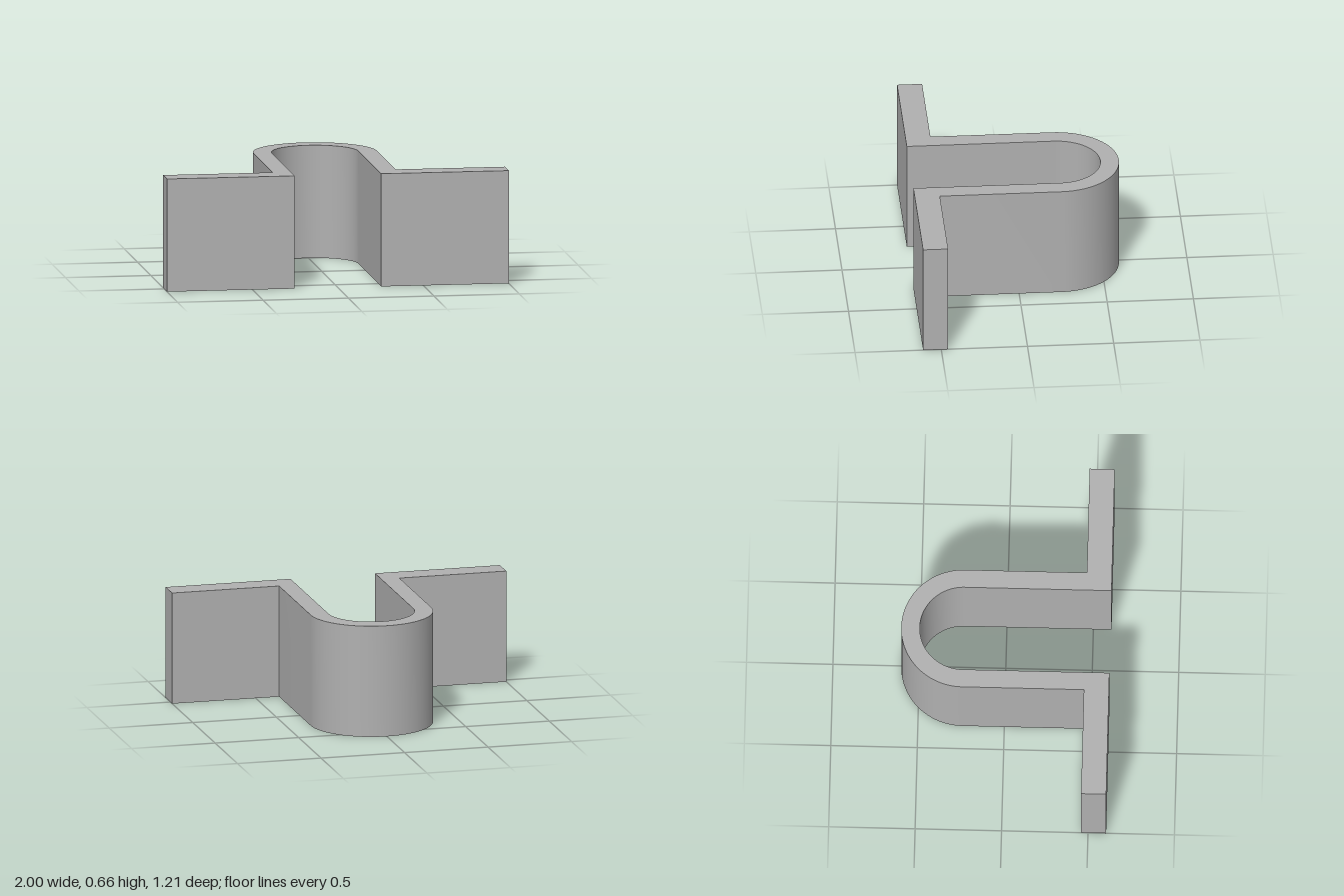
import * as THREE from 'three';
import { toCreasedNormals } from 'three/addons/utils/BufferGeometryUtils.js';

export function createModel() {
  const group = new THREE.Group();
  group.name = 'saddleClamp';
  const steel = new THREE.MeshStandardMaterial({ color: 0xb0b0b0 });
  steel.name = 'grey steel';

  const height = 0.66;      // width of the strip, standing upright
  const outer = 0.36;       // outer bend radius
  const inner = 0.253;      // inner bend radius
  const bend = 0.245;       // bend centre, towards the back
  const front = -0.605;     // front face of the feet
  const footBack = -0.46;   // rear face of the feet

  // Plan outline (shape y points to the back): two feet joined by a U bend
  const outline = new THREE.Shape();
  outline.moveTo(-1, front);
  outline.lineTo(-inner, front);
  outline.lineTo(-inner, bend);
  outline.absarc(0, bend, inner, Math.PI, 0, true);
  outline.lineTo(inner, front);
  outline.lineTo(1, front);
  outline.lineTo(1, footBack);
  outline.lineTo(outer, footBack);
  outline.lineTo(outer, bend);
  outline.absarc(0, bend, outer, 0, Math.PI, false);
  outline.lineTo(-outer, footBack);
  outline.lineTo(-1, footBack);
  outline.closePath();

  // Raise the outline and smooth only the round bend
  const solid = new THREE.ExtrudeGeometry(outline, {
    depth: height, bevelEnabled: false, curveSegments: 32,
  });
  solid.rotateX(-Math.PI / 2);
  const bracket = new THREE.Mesh(toCreasedNormals(solid, 0.5), steel);
  bracket.name = 'bentStrip';
  group.add(bracket);
  return group;
}
